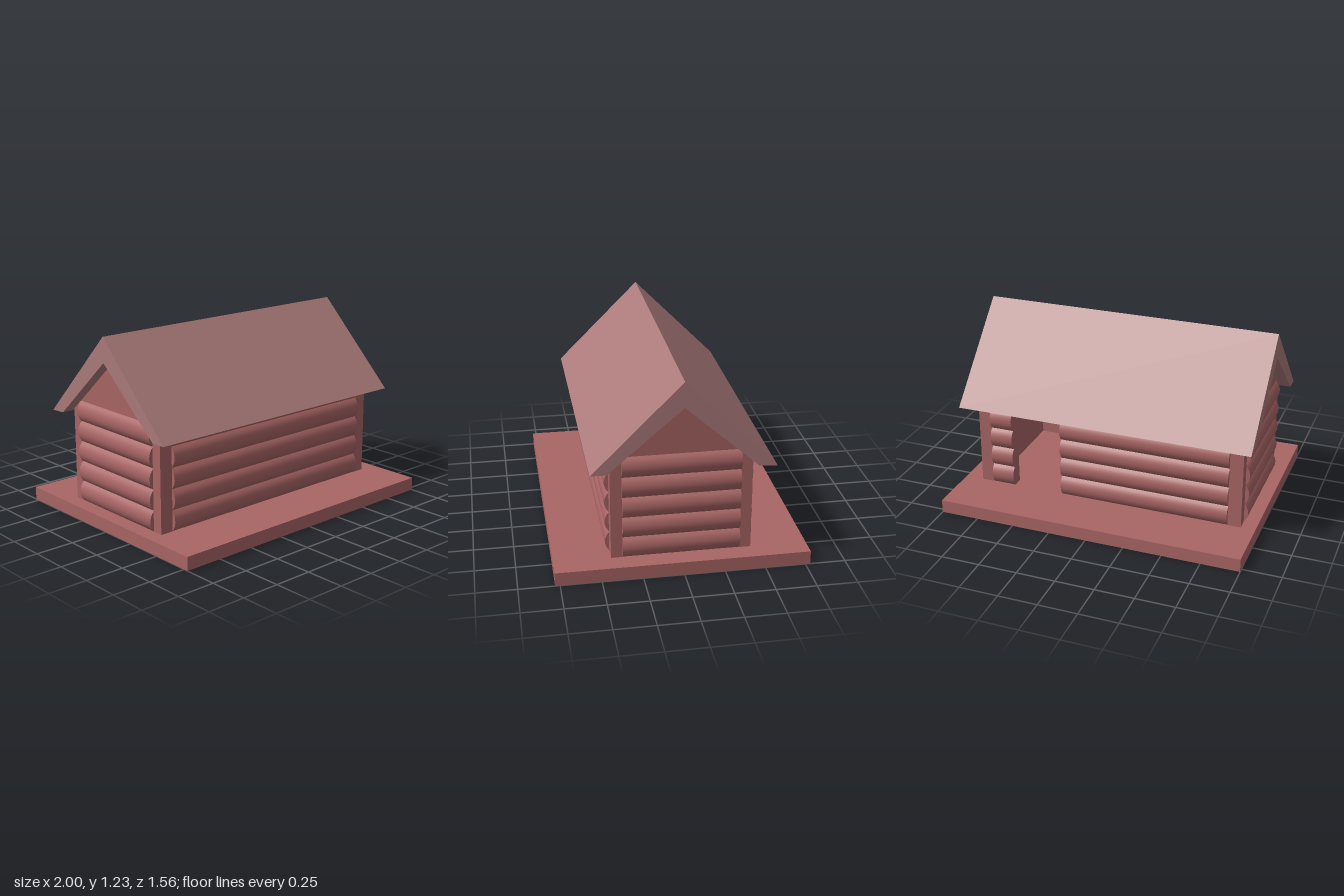
import * as THREE from 'three';
import { toCreasedNormals } from 'three/addons/utils/BufferGeometryUtils.js';

const FLOOR = 0.086, ROW = 0.133, CX = -0.014;
const HALF_X = 0.805, HALF_Z = 0.36; // inner faces of the walls

export function createModel() {
  const cabin = new THREE.Group();
  cabin.name = 'logCabin';
  const wood = new THREE.MeshStandardMaterial({ color: 0xa96565, side: THREE.DoubleSide });
  const roofing = new THREE.MeshStandardMaterial({ color: 0xab7a7a, side: THREE.DoubleSide });

  const add = (name, geometry, material = wood, parent = cabin) => {
    const mesh = new THREE.Mesh(geometry, material);
    mesh.name = name;
    parent.add(mesh);
    return mesh;
  };

  // Extrudes a cross-section, centred along its length
  const prism = (shape, length) => {
    const g = new THREE.ExtrudeGeometry(shape, { depth: length, bevelEnabled: false, steps: 1 });
    return toCreasedNormals(g.translate(0, 0, -length / 2), 0.5);
  };
  const polygon = (pts) => new THREE.Shape(pts.map(([x, y]) => new THREE.Vector2(x, y)));

  // Wall section: flat inside, one rounded bulge per log outside
  const logSection = (depth, firstRow, lastRow, bulge = 0.03) => {
    const half = ROW / 2;
    const radius = (half * half + bulge * bulge) / (2 * bulge);
    const sweep = Math.asin(half / radius);
    const pts = [[0, FLOOR + lastRow * ROW], [0, FLOOR + firstRow * ROW]];
    for (let row = firstRow; row < lastRow; row++) {
      for (let i = row === firstRow ? 0 : 1; i <= 8; i++) {
        const a = sweep * (i / 4 - 1);
        pts.push([
          depth + bulge - radius + radius * Math.cos(a),
          FLOOR + (row + 0.5) * ROW + radius * Math.sin(a),
        ]);
      }
    }
    return polygon(pts);
  };

  // Base: a shallow tray, open underneath
  const base = new THREE.BoxGeometry(2, FLOOR, 1.56).translate(0, FLOOR / 2, 0);
  const index = Array.from(base.index.array);
  index.splice(18, 6);
  base.setIndex(index);
  base.clearGroups();
  add('base', base);

  // Long walls, side = 1 front, -1 back
  const longWall = (name, side, x0, x1, firstRow, lastRow) => {
    const wall = add(name, prism(logSection(0.066, firstRow, lastRow), x1 - x0));
    wall.rotation.y = -side * Math.PI / 2;
    wall.position.set((x0 + x1) / 2, 0, side * HALF_Z);
  };
  const xMin = CX - HALF_X, xMax = CX + HALF_X;
  longWall('frontWall', 1, xMin, xMax, 0, 5);
  // Back wall with the doorway
  longWall('backWallLong', -1, xMin, 0.3, 0, 4);
  longWall('backWallShort', -1, 0.64, xMax, 0, 4);
  longWall('doorLintelLog', -1, xMin, xMax, 4, 5);

  // End walls with their gables
  const gable = polygon([[-0.4, 0.75], [0.4, 0.75], [0, 1.1]]);
  for (const side of [1, -1]) {
    const end = new THREE.Group();
    end.name = side > 0 ? 'leftEnd' : 'rightEnd';
    end.position.x = CX + side * HALF_X;
    end.rotation.y = side > 0 ? 0 : Math.PI;
    cabin.add(end);
    add('endWall', prism(logSection(0.083, 0, 5), 2 * HALF_Z), wood, end);
    const top = add('gable', prism(gable, 0.083), wood, end);
    top.rotation.y = -Math.PI / 2;
    top.position.x = 0.0415;
  }

  // Corner posts
  const postHeight = 5 * ROW;
  for (const sx of [1, -1]) {
    for (const sz of [1, -1]) {
      const post = add('cornerPost', new THREE.BoxGeometry(0.087, postHeight, 0.07));
      post.position.set(CX + sx * (HALF_X + 0.0435), FLOOR + postHeight / 2, sz * (HALF_Z + 0.035));
    }
  }

  // Roof: thick chevron with slightly uneven eaves
  const chevron = polygon([
    [0.553, 0.68], [0, 1.23], [-0.56, 0.663], [-0.45, 0.67], [0, 1.07], [0.455, 0.68],
  ]);
  const roof = add('roof', prism(chevron, 1.93), roofing);
  roof.rotation.y = -Math.PI / 2;
  roof.position.x = -0.015;

  return cabin;
}
